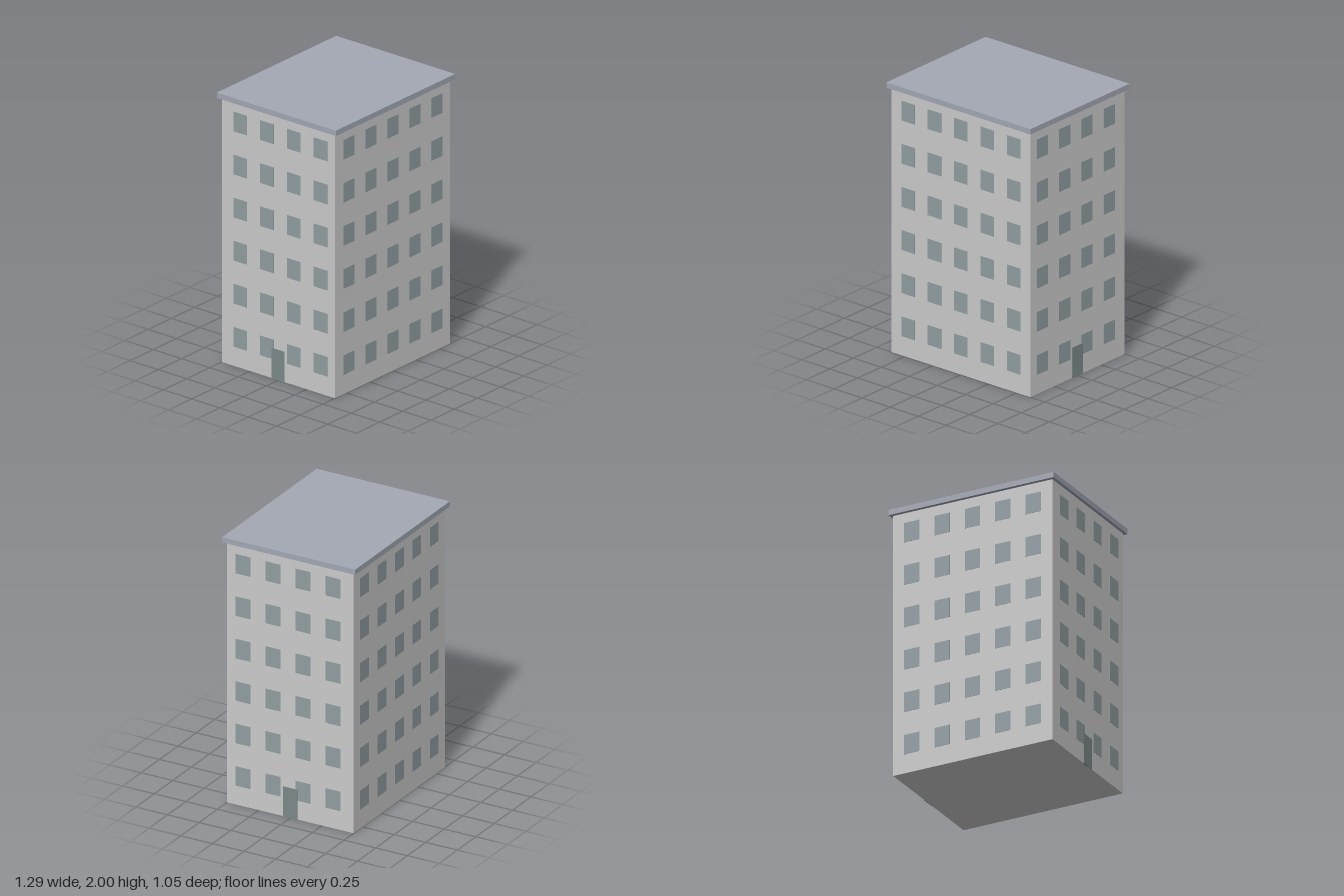
import * as THREE from 'three';

const WALL = { x: 0.62, z: 0.5, top: 1.96 }; // half width, half depth, height

const paint = (color) => new THREE.MeshStandardMaterial({ color });

function box(name, w, h, d, x, y, z, material) {
  const mesh = new THREE.Mesh(new THREE.BoxGeometry(w, h, d), material);
  mesh.name = name;
  mesh.position.set(x, y, z);
  return mesh;
}

export function createModel() {
  const building = new THREE.Group();
  building.name = 'apartmentBlock';

  const wallPaint = paint(0xcccccc);
  const roofPaint = paint(0xa3a8b4);
  const glass = paint(0x919ea2);
  const doorPaint = paint(0x7c8a8a);

  // Main block and overhanging flat roof
  building.add(box('walls', WALL.x * 2, WALL.top, WALL.z * 2, 0, WALL.top / 2, 0, wallPaint));
  building.add(box('roof', 1.286, 0.04, 1.052, 0, 1.98, 0, roofPaint));

  // Windows: six floors on all four sides, almost flush with the walls
  const windows = new THREE.Group();
  windows.name = 'windows';
  const width = 0.119, height = 0.146, thick = 0.004, pitch = 0.2365;
  for (let floor = 0; floor < 6; floor++) {
    const y = 0.216 + floor * 0.3196;
    for (const side of [-1, 1]) {
      for (let i = 0; i < 5; i++) {
        const x = (i - 2) * pitch + 0.002;
        windows.add(box(side > 0 ? 'frontWindow' : 'backWindow', width, height, thick, x, y, side * WALL.z, glass));
      }
      for (let i = 0; i < 4; i++) {
        const z = 0.373 - i * pitch;
        windows.add(box(side > 0 ? 'leftWindow' : 'rightWindow', thick, height, width, side * WALL.x, y, z, glass));
      }
    }
  }
  building.add(windows);

  // A door in the middle of each short side, just in front of the windows
  for (const side of [-1, 1]) {
    building.add(box(side > 0 ? 'leftDoor' : 'rightDoor', 0.008, 0.225, 0.112, side * WALL.x, 0.1125, 0, doorPaint));
  }

  return building;
}
